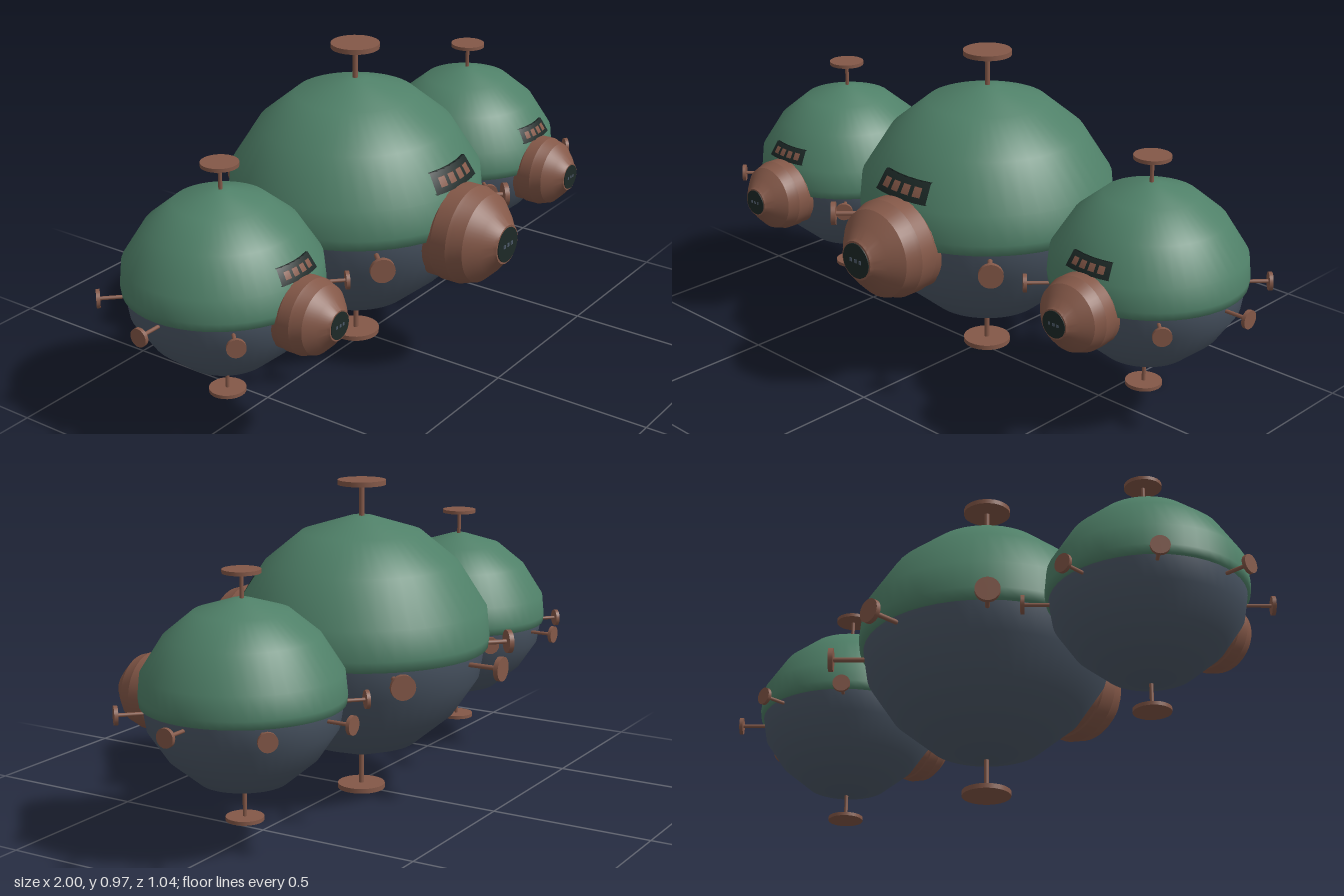
import * as THREE from 'three';
import { toCreasedNormals } from 'three/addons/utils/BufferGeometryUtils.js';

const material = (name, color, side = THREE.FrontSide) => {
  const m = new THREE.MeshStandardMaterial({ color, side });
  m.name = name;
  return m;
};

export function createModel() {
  const green = material('hull green', 0x4f8068);
  const slate = material('hull slate', 0x4d5968);
  const copper = material('copper brown', 0x845848);
  const dark = material('frame black', 0x1d2927, THREE.DoubleSide);
  const pane = material('pane brown', 0x845848, THREE.DoubleSide);

  const add = (parent, name, geometry, mat) => {
    const mesh = new THREE.Mesh(geometry, mat);
    mesh.name = name;
    parent.add(mesh);
    return mesh;
  };
  const lathe = (pts, seg = 48, start = 0, len = Math.PI * 2) =>
    new THREE.LatheGeometry(pts.map(([r, y]) => new THREE.Vector2(r, y)), seg, start, len);

  // Hull radius on the sloped band that carries the window
  const hullR = (y) => 0.385 - (y - 0.099) * 0.63;
  // Curved plate lying on that band
  const plate = (y0, y1, a0, a1, inner, outer) => lathe([
    [hullR(y0) + inner, y0], [hullR(y0) + outer, y0],
    [hullR(y1) + outer, y1], [hullR(y1) + inner, y1], [hullR(y0) + inner, y0],
  ], 6, a0, a1 - a0);

  // Rod with an end disc, pointing along +y
  function antenna(name, discR, rodR, reach) {
    const g = new THREE.Group();
    g.name = name;
    const rod = add(g, 'rod', new THREE.CylinderGeometry(rodR, rodR, reach - 0.3, 12), copper);
    rod.position.y = (reach + 0.3) / 2 - 0.005;
    const disc = add(g, 'disc', new THREE.CylinderGeometry(discR, discR, 0.015, 28), copper);
    disc.position.y = reach - 0.0075;
    return g;
  }

  function pod(name) {
    const g = new THREE.Group();
    g.name = name;

    // Faceted-profile hull halves
    add(g, 'upperHull', lathe([[0.37, -0.026], [0.39, -0.022], [0.394, 0.01], [0.385, 0.099],
      [0.298, 0.236], [0.185, 0.329], [0.035, 0.376], [0, 0.376]]), green);
    add(g, 'lowerHull', lathe([[0, -0.371], [0.035, -0.371], [0.172, -0.326], [0.288, -0.229],
      [0.364, -0.115], [0.379, -0.024]]), slate);

    // Pole antennas
    const top = antenna('topAntenna', 0.074, 0.008, 0.486);
    const bottom = antenna('bottomAntenna', 0.074, 0.008, 0.486);
    bottom.rotation.x = Math.PI;
    g.add(top, bottom);

    // Ring of small antennas, leaving the front free for the nozzle
    for (let i = 1; i < 8; i++) {
      const holder = new THREE.Group();
      holder.name = 'sideAntenna' + i;
      const a = antenna('antenna', 0.037, 0.0075, 0.486);
      a.rotation.x = Math.PI / 2;
      holder.add(a);
      holder.position.y = -0.043;
      holder.rotation.y = i * Math.PI / 4;
      g.add(holder);
    }

    // Front nozzle with its dark port
    const nozzle = new THREE.Group();
    nozzle.name = 'nozzle';
    nozzle.position.y = -0.033;
    g.add(nozzle);
    const body = toCreasedNormals(lathe([[0.147, 0.2], [0.147, 0.37], [0.151, 0.376], [0.151, 0.428],
      [0.146, 0.44], [0.135, 0.476], [0.098, 0.514], [0.066, 0.54], [0.06, 0.549], [0, 0.549]]), 0.35);
    add(nozzle, 'nozzleBody', body, copper).rotation.x = Math.PI / 2;
    const port = add(nozzle, 'port', new THREE.CylinderGeometry(0.054, 0.054, 0.004, 32), dark);
    port.rotation.x = Math.PI / 2;
    port.position.z = 0.55;
    for (const x of [-0.02, 0, 0.02]) {
      add(nozzle, 'portLight', new THREE.BoxGeometry(0.009, 0.011, 0.003), slate)
        .position.set(x, 0, 0.5525);
    }

    // Curved window strip above the nozzle
    add(g, 'windowFrame', plate(0.115, 0.172, -0.275, 0.275, -0.004, 0.009), dark);
    for (let i = 0; i < 4; i++) {
      const c = (i - 1.5) * 0.115;
      add(g, 'windowPane', plate(0.131, 0.157, c - 0.038, c + 0.038, 0.007, 0.011), pane);
    }
    return g;
  }

  const model = new THREE.Group();
  model.name = 'threePodCraft';
  const centre = pod('centrePod');
  centre.position.set(0, 0.486, -0.035);
  model.add(centre);
  for (const s of [-1, 1]) {
    const p = pod(s > 0 ? 'leftPod' : 'rightPod');
    p.scale.setScalar(0.74);
    p.position.set(s * 0.64, 0.44, -0.035);
    model.add(p);
  }
  return model;
}
